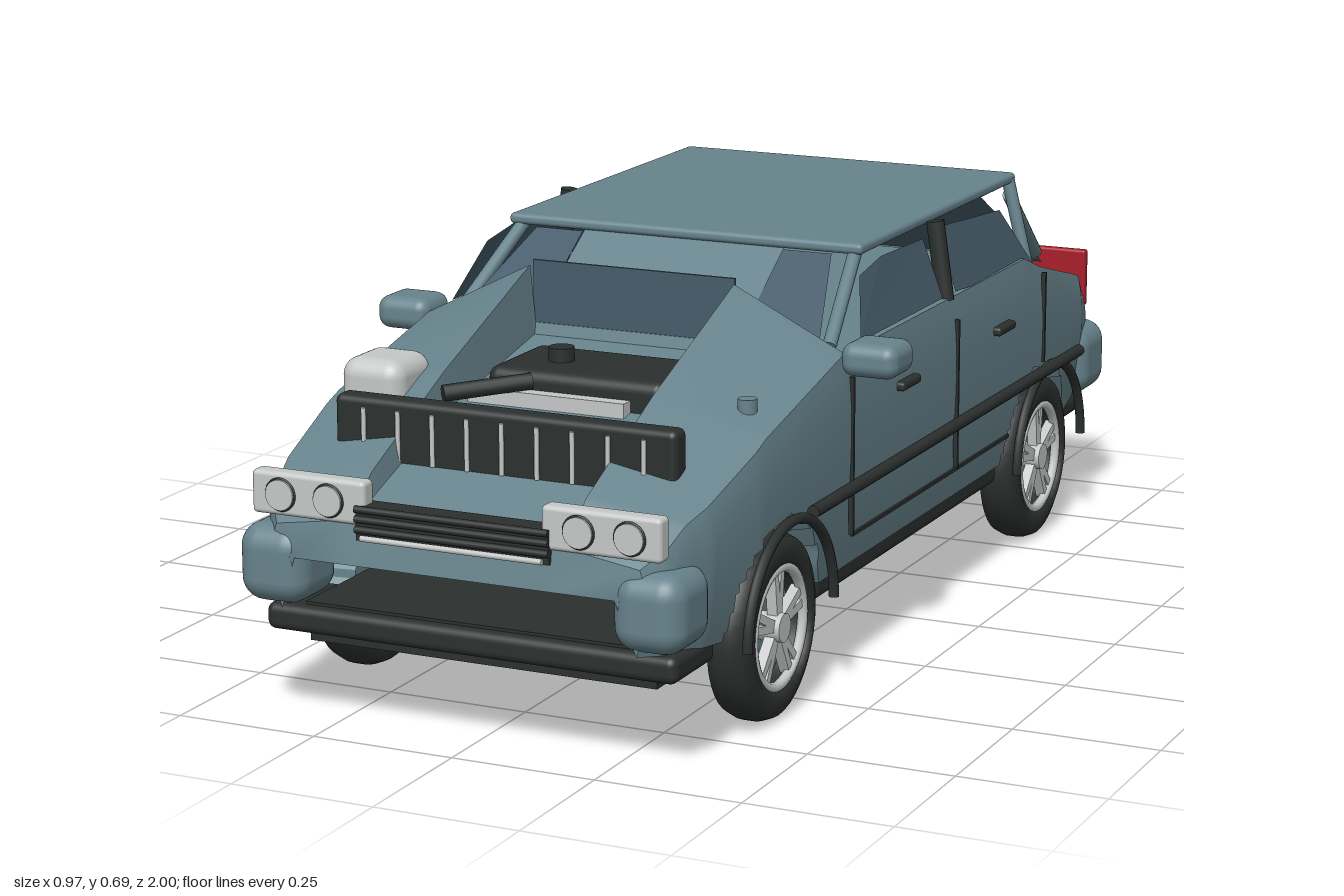
import * as THREE from 'three';
import { toCreasedNormals } from 'three/addons/utils/BufferGeometryUtils.js';
import { RoundedBoxGeometry } from 'three/addons/geometries/RoundedBoxGeometry.js';

const mat = (name, color, side = THREE.FrontSide) => {
  const m = new THREE.MeshStandardMaterial({ color, side });
  m.name = name;
  return m;
};

export function createModel() {
  const car = new THREE.Group();
  car.name = 'car';
  const paint = mat('blue grey paint', 0x67838c, THREE.DoubleSide);
  const glass = mat('dark glass', 0x465c6b, THREE.DoubleSide);
  const black = mat('black trim', 0x2b302e);
  const silver = mat('silver', 0xc6c8c8);
  const red = mat('red lamp', 0xa81c28);

  const add = (name, geo, m, x = 0, y = 0, z = 0, parent = car) => {
    const mesh = new THREE.Mesh(geo, m);
    mesh.name = name;
    mesh.position.set(x, y, z);
    parent.add(mesh);
    return mesh;
  };
  // Box given by its limits, with optional rounded edges
  const box = (name, m, x0, x1, y0, y1, z0, z1, r = 0) => {
    const d = [x1 - x0, y1 - y0, z1 - z0];
    const geo = r ? new RoundedBoxGeometry(...d, 4, r) : new THREE.BoxGeometry(...d);
    return add(name, geo, m, (x0 + x1) / 2, (y0 + y1) / 2, (z0 + z1) / 2);
  };
  const rod = (name, m, a, b, r) => {
    const A = new THREE.Vector3(...a), B = new THREE.Vector3(...b);
    const mesh = add(name, new THREE.CylinderGeometry(r, r, A.distanceTo(B), 12), m);
    mesh.position.copy(A).add(B).multiplyScalar(0.5);
    mesh.quaternion.setFromUnitVectors(new THREE.Vector3(0, 1, 0), B.sub(A).normalize());
    return mesh;
  };
  // Flat sheet from a fan of corner points
  const sheet = (name, m, pts) => {
    const tri = [];
    for (let i = 1; i < pts.length - 1; i++) tri.push(...pts[0], ...pts[i], ...pts[i + 1]);
    const geo = new THREE.BufferGeometry();
    geo.setAttribute('position', new THREE.Float32BufferAttribute(tri, 3));
    geo.computeVertexNormals();
    return add(name, geo, m);
  };
  // Piecewise linear lookup in [z, value] pairs, z falling
  const at = (table, z) => {
    if (z >= table[0][0]) return table[0][1];
    for (let i = 1; i < table.length; i++) {
      const [z0, v0] = table[i - 1], [z1, v1] = table[i];
      if (z >= z1) return v0 + (v1 - v0) * (z0 - z) / (z0 - z1);
    }
    return table[table.length - 1][1];
  };

  // Body shell: lofted sections with wheel wells pushed in
  const wheelZ = [0.61, -0.59], wheelY = 0.155;
  const width = [[0.98, 0.33], [0.94, 0.36], [0.85, 0.385], [0.7, 0.4], [-0.6, 0.4], [-0.85, 0.38], [-0.93, 0.36], [-0.97, 0.32]];
  const bottom = [[0.98, 0.2], [0.8, 0.18], [-0.72, 0.18], [-0.97, 0.24]];
  const shoulder = [[0.98, 0.34], [0.9, 0.395], [0.66, 0.48], [0.35, 0.55], [-0.5, 0.55], [-0.58, 0.52], [-0.85, 0.45], [-0.97, 0.375]];
  const ridge = [[0.98, 0.36], [0.9, 0.42], [0.66, 0.53], [0.35, 0.65], [0.345, 0.55], [-0.5, 0.55], [-0.58, 0.52], [-0.85, 0.47], [-0.97, 0.385]];
  const centre = [[0.98, 0.355], [0.9, 0.385], [0.83, 0.41], [0.7, 0.46], [0.35, 0.53], [0.345, 0.55], [-0.5, 0.55], [-0.58, 0.52], [-0.85, 0.475], [-0.97, 0.39]];
  const STEPS = 18;
  const section = (z) => {
    const w = at(width, z), b = at(bottom, z), s = at(shoulder, z), half = [];
    for (let k = 0; k <= STEPS; k++) {
      const t = k / STEPS, y = b + (s - b) * t;
      let x = w * (1 - 0.05 * (1 - t) ** 3 - 0.03 * t ** 6);
      if (wheelZ.some((c) => Math.hypot(z - c, y - wheelY) < 0.172)) x = 0.3;
      half.push([x, y]);
    }
    half.push([0.19, at(ridge, z)], [0.183, at(centre, z)]);
    return [...half, [0, at(centre, z)], ...half.slice().reverse().map(([x, y]) => [-x, y])];
  };
  const stations = [0.98];
  for (let z = 0.97; z > -0.975; z -= 0.01) {
    stations.push(z);
    if (Math.abs(z - 0.35) < 0.001) stations.push(0.345);
  }
  const rings = stations.map((z) => section(z).map(([x, y]) => [x, y, z]));
  const cap = (ring, z) => ring.map(([x]) => [x * 0.9, 0.29, z]);
  rings.unshift(cap(rings[0], 0.992));
  rings.push(cap(rings[rings.length - 1], -0.98));
  const n = rings[0].length, index = [];
  for (let i = 0; i < rings.length - 1; i++) {
    for (let j = 0; j < n - 1; j++) {
      const a = i * n + j, c = a + n;
      index.push(a, c, a + 1, a + 1, c, c + 1);
    }
  }
  const shell = new THREE.BufferGeometry();
  shell.setAttribute('position', new THREE.Float32BufferAttribute(rings.flat(2), 3));
  shell.setIndex(index);
  add('bodyShell', toCreasedNormals(shell, 0.5), paint);

  // Underside
  box('floor', black, -0.3, 0.3, 0.15, 0.2, -0.9, 0.93);
  box('middleFloor', black, -0.375, 0.375, 0.145, 0.19, -0.41, 0.43, 0.015);
  box('frontLip', black, -0.365, 0.365, 0.15, 0.195, 0.8, 0.95, 0.015);
  box('rearFloor', black, -0.36, 0.36, 0.17, 0.21, -0.92, -0.78, 0.015);
  box('skidPlate', black, -0.31, 0.31, 0.125, 0.15, 0.45, 0.9);
  box('fuelTank', black, -0.17, 0.3, 0.12, 0.15, -0.44, -0.18, 0.012);
  rod('exhaustPipe', paint, [0.055, 0.125, 0.5], [0.055, 0.125, -0.72], 0.014);
  box('muffler', paint, -0.015, 0.205, 0.095, 0.15, -0.82, -0.68, 0.025);
  rod('tailPipe', paint, [0.09, 0.14, -0.75], [0.09, 0.14, -1], 0.015);

  // Cabin
  box('roof', paint, -0.335, 0.335, 0.673, 0.692, -0.59, 0.15, 0.008);
  sheet('windscreenPanel', paint, [[-0.19, 0.555, 0.33], [0.19, 0.555, 0.33], [0.19, 0.675, 0.14], [-0.19, 0.675, 0.14]]);
  box('windscreenCentre', glass, -0.188, 0.188, 0.535, 0.658, 0.337, 0.343);
  sheet('rearGlass', glass, [[0.26, 0.645, -0.59], [-0.26, 0.645, -0.59], [-0.295, 0.47, -0.85], [0.295, 0.47, -0.85]]);
  sheet('rearPanel', paint, [[0.25, 0.604, -0.66], [-0.25, 0.604, -0.66], [-0.26, 0.385, -0.972], [0.26, 0.385, -0.972]]);

  // Tyre profile turned around the axle, which then points along x
  const tyre = new THREE.LatheGeometry([[0.1, -0.034], [0.128, -0.038], [0.148, -0.03], [0.155, -0.012],
    [0.155, 0.012], [0.148, 0.03], [0.128, 0.038], [0.1, 0.034], [0.1, -0.034]].map((p) => new THREE.Vector2(...p)), 40);
  tyre.rotateZ(-Math.PI / 2);
  const ring = new THREE.TorusGeometry(0.099, 0.009, 8, 40).rotateY(Math.PI / 2);
  const disc = (r, d) => new THREE.CylinderGeometry(r, r, d, 24).rotateZ(-Math.PI / 2);
  const arch = new THREE.TorusGeometry(0.172, 0.009, 8, 32, Math.PI).rotateY(Math.PI / 2);

  for (const s of [1, -1]) {
    const S = (p) => [p[0] * s, p[1], p[2]];
    const sideBox = (name, m, x0, x1, ...rest) => box(name, m, ...(s > 0 ? [x0, x1] : [-x1, -x0]), ...rest);

    // Wheels with five forked spokes
    for (const z of wheelZ) {
      const wheel = new THREE.Group();
      wheel.name = 'wheel';
      wheel.position.set(0.359 * s, wheelY, z);
      wheel.rotation.y = s > 0 ? 0 : Math.PI;
      car.add(wheel);
      add('tyre', tyre, black, 0, 0, 0, wheel);
      add('rimRing', ring, silver, 0.028, 0, 0, wheel);
      add('brakeDisc', disc(0.098, 0.02), paint, -0.01, 0, 0, wheel);
      add('hub', disc(0.024, 0.05), silver, 0.015, 0, 0, wheel);
      for (let k = 0; k < 5; k++) {
        for (const d of [-0.13, 0.13]) {
          const spoke = add('spoke', new THREE.BoxGeometry(0.018, 0.09, 0.014).translate(0, 0.053, 0), silver, 0.022, 0, 0, wheel);
          spoke.rotation.x = k * Math.PI * 0.4 + d;
        }
      }
      add('wheelArch', arch, black, 0.411 * s, 0.163, z);
    }

    // Side trim and doors
    rod('sideRail', black, S([0.413, 0.33, 0.53]), S([0.413, 0.33, -0.74]), 0.011);
    for (const z of [0.335, -0.14, -0.58]) {
      sideBox('doorGap', black, 0.394, 0.402, z < -0.5 ? 0.34 : 0.24, 0.51, z - 0.003, z + 0.003);
    }
    sideBox('doorBottomGap', black, 0.396, 0.401, 0.237, 0.243, -0.4, 0.335);
    for (const z of [0.1, -0.36]) sideBox('doorHandle', black, 0.39, 0.412, 0.442, 0.458, z - 0.04, z + 0.04, 0.006);
    sideBox('mirror', paint, 0.385, 0.485, 0.515, 0.572, 0.27, 0.367, 0.022);

    // Side glass and pillars
    sheet('frontWindow', glass, [[0.385, 0.555, 0.27], [0.385, 0.555, -0.1], [0.35, 0.66, -0.09], [0.35, 0.665, 0.1], [0.352, 0.65, 0.2]].map(S));
    sheet('rearWindow', glass, [[0.385, 0.555, -0.16], [0.35, 0.668, -0.16], [0.352, 0.645, -0.46], [0.387, 0.53, -0.55]].map(S));
    sheet('windscreenSide', glass, [[0.19, 0.555, 0.33], [0.335, 0.555, 0.33], [0.28, 0.672, 0.15], [0.19, 0.672, 0.15]].map(S));
    rod('windscreenPillar', paint, S([0.345, 0.55, 0.31]), S([0.315, 0.675, 0.13]), 0.012);
    rod('middlePillar', black, S([0.378, 0.545, -0.13]), S([0.357, 0.685, -0.13]), 0.016);
    rod('rearPillar', paint, S([0.325, 0.65, -0.58]), S([0.285, 0.49, -0.84]), 0.012);
    rod('rearPost', paint, S([0.325, 0.68, -0.575]), S([0.365, 0.52, -0.575]), 0.012);

    // Bumper corners and lamps
    sideBox('frontBumperCorner', paint, 0.27, 0.393, 0.205, 0.335, 0.86, 0.997, 0.04);
    sideBox('rearBumperCorner', paint, 0.27, 0.39, 0.21, 0.345, -0.973, -0.83, 0.04);
    sideBox('headlampHousing', silver, 0.155, 0.36, 0.355, 0.426, 0.955, 0.988, 0.008);
    for (const x of [0.22, 0.307]) {
      add('headlampRim', new THREE.TorusGeometry(0.026, 0.002, 6, 28), black, x * s, 0.39, 0.988);
      add('headlampLens', new THREE.CylinderGeometry(0.025, 0.025, 0.008, 28).rotateX(Math.PI / 2), silver, x * s, 0.39, 0.989);
    }
    sideBox('tailLamp', red, 0.22, 0.36, 0.375, 0.485, -0.932, -0.914, 0.005);
  }

  // Upright grille with slats
  box('grille', black, -0.305, 0.305, 0.4, 0.517, 0.775, 0.818, 0.012);
  for (let k = -4; k <= 4; k++) rod('grilleSlat', silver, [k * 0.0625, 0.415, 0.82], [k * 0.0625, 0.5, 0.82], 0.004);

  // Lower grille
  box('lowerGrille', black, -0.17, 0.17, 0.332, 0.388, 0.95, 0.99);
  for (const y of [0.35, 0.367, 0.383]) rod('lowerGrilleBar', black, [-0.17, y, 0.991], [0.17, y, 0.991], 0.006);
  rod('lowerGrilleTrim', silver, [-0.16, 0.337, 0.993], [0.16, 0.337, 0.993], 0.005);

  // Engine, intake and bonnet fittings
  box('engine', black, -0.145, 0.18, 0.45, 0.532, 0.41, 0.6, 0.02);
  box('engineBlock', silver, -0.165, 0.12, 0.44, 0.5, 0.5, 0.625);
  add('engineCap', new THREE.CylinderGeometry(0.022, 0.022, 0.03, 20), black, -0.05, 0.54, 0.51);
  rod('intakePipe', black, [-0.06, 0.515, 0.6], [-0.17, 0.505, 0.7], 0.014);
  box('bonnetLamp', silver, -0.35, -0.235, 0.46, 0.553, 0.605, 0.73, 0.03);
  add('bonnetCap', new THREE.CylinderGeometry(0.016, 0.016, 0.03, 20), paint, 0.33, 0.512, 0.605);
  return car;
}
